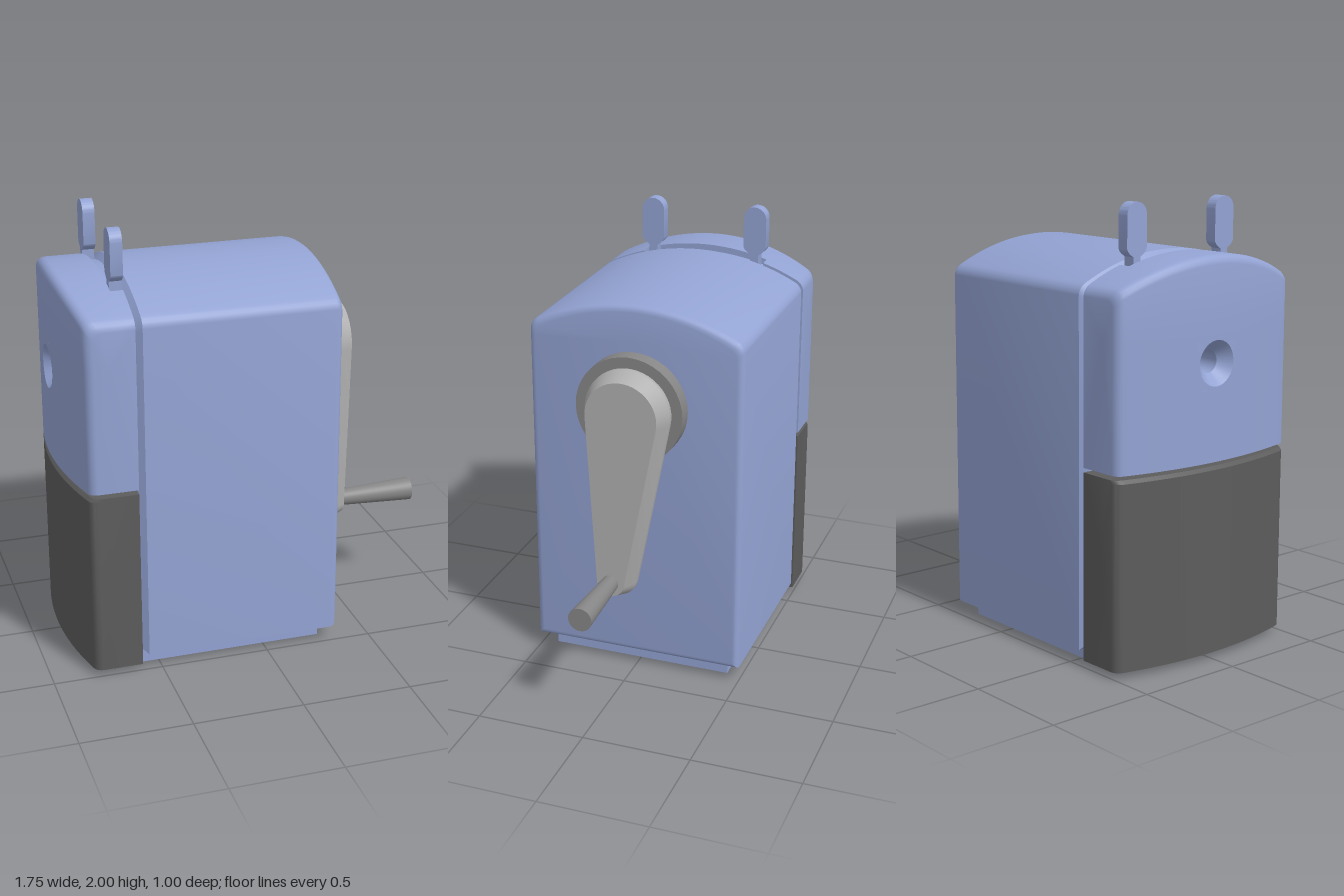
import * as THREE from 'three';
import { toCreasedNormals } from 'three/addons/utils/BufferGeometryUtils.js';

const material = (name, color) => {
  const m = new THREE.MeshStandardMaterial({ color });
  m.name = name;
  return m;
};

// Joins closed rings of points; rings run counterclockwise around the direction of travel.
function loft(rings, { startCap = true, endCap = true, skip = () => false, crease = 0.5 } = {}) {
  const n = rings[0].length, pos = [];
  const tri = (...p) => p.forEach(v => pos.push(...v));
  for (let i = 0; i + 1 < rings.length; i++) {
    for (let j = 0; j < n; j++) {
      if (skip(i, j)) continue;
      const k = (j + 1) % n, a = rings[i], b = rings[i + 1];
      tri(a[j], a[k], b[k]);
      tri(a[j], b[k], b[j]);
    }
  }
  const cap = (r, flip) => {
    const c = [0, 1, 2].map(d => r.reduce((s, p) => s + p[d], 0) / n);
    for (let j = 0; j < n; j++) {
      const k = (j + 1) % n;
      flip ? tri(c, r[k], r[j]) : tri(c, r[j], r[k]);
    }
  };
  if (startCap) cap(rings[0], true);
  if (endCap) cap(rings[rings.length - 1], false);
  const g = new THREE.BufferGeometry();
  g.setAttribute('position', new THREE.Float32BufferAttribute(pos, 3));
  return toCreasedNormals(g, crease);
}

// Stations across the width, denser at the rounded edges and at the slot ends
const half = [0.299];
for (let i = 1; i <= 15; i++) half.push(i * 0.03);
for (let i = 0; i <= 4; i++) half.push(0.47 + 0.03 * Math.sin(i * Math.PI / 8));
half.sort((a, b) => a - b);
const stations = [...half.map(z => -z).reverse(), 0, ...half];

const edgeDrop = z => {
  const t = Math.min(1, Math.max(0, (Math.abs(z) - 0.47) / 0.03));
  return 0.03 * (1 - Math.sqrt(1 - t * t));
};
const topY = z => 0.75 + Math.sqrt(1.03 * 1.03 - z * z) - edgeDrop(z); // arched roof
const backX = z => -0.875 + 0.29 * z * z + edgeDrop(z);                // bowed rear

const JOINT = -0.591, AXIS_Y = 1.32;

// Main housing: arched outline with a chamfered rear and rounded front edge
function housingGeometry() {
  const ring = (x, inset) => {
    const s = (0.5 - inset) / 0.5;
    const pts = stations.map(z => [x, topY(z) - inset, z * s]);
    pts.push([x, 0.07 + inset, 0.5 * s], [x, 0.07 + inset, -0.5 * s]);
    return pts;
  };
  const rings = [ring(-0.59, 0.03), ring(-0.56, 0)];
  for (let i = 0; i <= 4; i++) {
    const a = i * Math.PI / 8;
    rings.push(ring(0.31 + 0.03 * Math.sin(a), 0.03 * (1 - Math.cos(a))));
  }
  return loft(rings);
}

// Rear cover with a lever slot in its roof and an opening left for the inlet
function coverGeometry() {
  const rings = stations.map(z => {
    const top = topY(z), back = backX(z), r = 0.04;
    const slot = Math.abs(z) < 0.2995 ? 0.03 : 0;
    const p = [[JOINT, 0.89, z], [JOINT, top - slot, z], [-0.648, top - slot, z], [-0.648, top, z]];
    for (let i = 0; i <= 4; i++) {
      const a = Math.PI / 2 + i * Math.PI / 8;
      p.push([back + r + r * Math.cos(a), top - r + r * Math.sin(a), z]);
    }
    p.push([back, 1.44, z], [back, 1.2, z], [back, 0.89, z]);
    return p;
  });
  const skip = (i, j) => j === 9 && Math.abs(stations[i] + stations[i + 1]) / 2 < 0.12;
  return loft(rings, { skip });
}

// Funnel-shaped inlet filling the opening in the cover
function inletGeometry() {
  const ring = (radius, x) => Array.from({ length: 32 }, (_, i) => {
    const a = i * Math.PI / 16, c = Math.cos(a), s = -Math.sin(a);
    const r = radius ?? 0.12 / Math.max(Math.abs(c), Math.abs(s));
    return [x ?? backX(r * s), AXIS_Y + r * c, r * s];
  });
  return loft([ring(), ring(0.1), ring(0.05, -0.82), ring(0.05, -0.68)], { startCap: false });
}

// Shavings bin with a chamfered upper rim
function binGeometry() {
  return loft(stations.map(z => {
    const b = backX(z);
    return [[JOINT, 0.03, z], [JOINT, 0.87, z], [b + 0.015, 0.87, z], [b, 0.855, z], [b, 0.03, z]];
  }));
}

// Tapered crank arm: hull of a large and a small circle, bevelled toward the outside
const GRIP = { y: 0.51, z: 0.056 };
function armGeometry() {
  const dy = GRIP.y - AXIS_Y, dz = GRIP.z;
  const dir = Math.atan2(dz, dy), phi = Math.acos((0.2 - 0.098) / Math.hypot(dy, dz));
  const ring = (x, inset) => {
    const pts = [];
    const arc = (y, z, r, from, to, n) => {
      for (let i = 0; i <= n; i++) {
        const a = from + (to - from) * i / n;
        pts.push([x, y + r * Math.cos(a), z + r * Math.sin(a)]);
      }
    };
    arc(GRIP.y, GRIP.z, 0.098 - inset, dir - phi, dir + phi, 16);
    arc(AXIS_Y, 0, 0.2 - inset, dir + phi, dir + 2 * Math.PI - phi, 24);
    return pts;
  };
  return loft([ring(0.41, 0), ring(0.43, 0), ring(0.513, 0.033)], { crease: 0.3 });
}

// Flat lever head with rounded ends
function leverHeadGeometry() {
  const r = 0.055, s = new THREE.Shape();
  s.absarc(0, 2 - r, r, 0, Math.PI, false);
  s.lineTo(-r, 1.81);
  s.quadraticCurveTo(-r, 1.79, -0.02, 1.77);
  s.lineTo(0.02, 1.77);
  s.quadraticCurveTo(r, 1.79, r, 1.81);
  const g = new THREE.ExtrudeGeometry(s, { depth: 0.055, bevelEnabled: false, curveSegments: 12 });
  return toCreasedNormals(g.rotateY(Math.PI / 2), 0.5);
}

export function createModel() {
  const model = new THREE.Group();
  const blue = material('blue paint', 0x93a3d3);
  const dark = material('dark grey plastic', 0x5c5c5c);
  const grey = material('mid grey plastic', 0x868686);
  const light = material('light grey metal', 0xb0b0b0);

  const add = (name, geometry, mat, x = 0, y = 0, z = 0, parent = model) => {
    const mesh = new THREE.Mesh(geometry, mat);
    mesh.name = name;
    mesh.position.set(x, y, z);
    parent.add(mesh);
    return mesh;
  };
  const rod = (rStart, rEnd, length) =>
    new THREE.CylinderGeometry(rEnd, rStart, length, 40).rotateZ(-Math.PI / 2);

  add('housing', housingGeometry(), blue);
  add('base', new THREE.BoxGeometry(0.86, 0.08, 0.86), blue, -0.16, 0.04, 0);
  add('rearCover', coverGeometry(), blue);
  add('inlet', inletGeometry(), blue);
  add('shavingsBin', binGeometry(), dark);

  // Pair of clamp levers
  for (const side of [-1, 1]) {
    const lever = new THREE.Group();
    lever.name = side > 0 ? 'frontLever' : 'rearLever';
    lever.position.set(-0.647, 0, side * 0.255);
    add('leverHead', leverHeadGeometry(), blue, 0, 0, 0, lever);
    add('leverStem', new THREE.BoxGeometry(0.055, 0.09, 0.04), blue, 0.0275, 1.735, 0, lever);
    model.add(lever);
  }

  // Crank
  const crank = new THREE.Group();
  crank.name = 'crank';
  add('hub', rod(0.25, 0.25, 0.08), grey, 0.372, AXIS_Y, 0, crank);
  add('arm', armGeometry(), light, 0, 0, 0, crank);
  add('handle', rod(0.038, 0.055, 0.37), grey, 0.687, GRIP.y, GRIP.z, crank);
  model.add(crank);

  return model;
}
